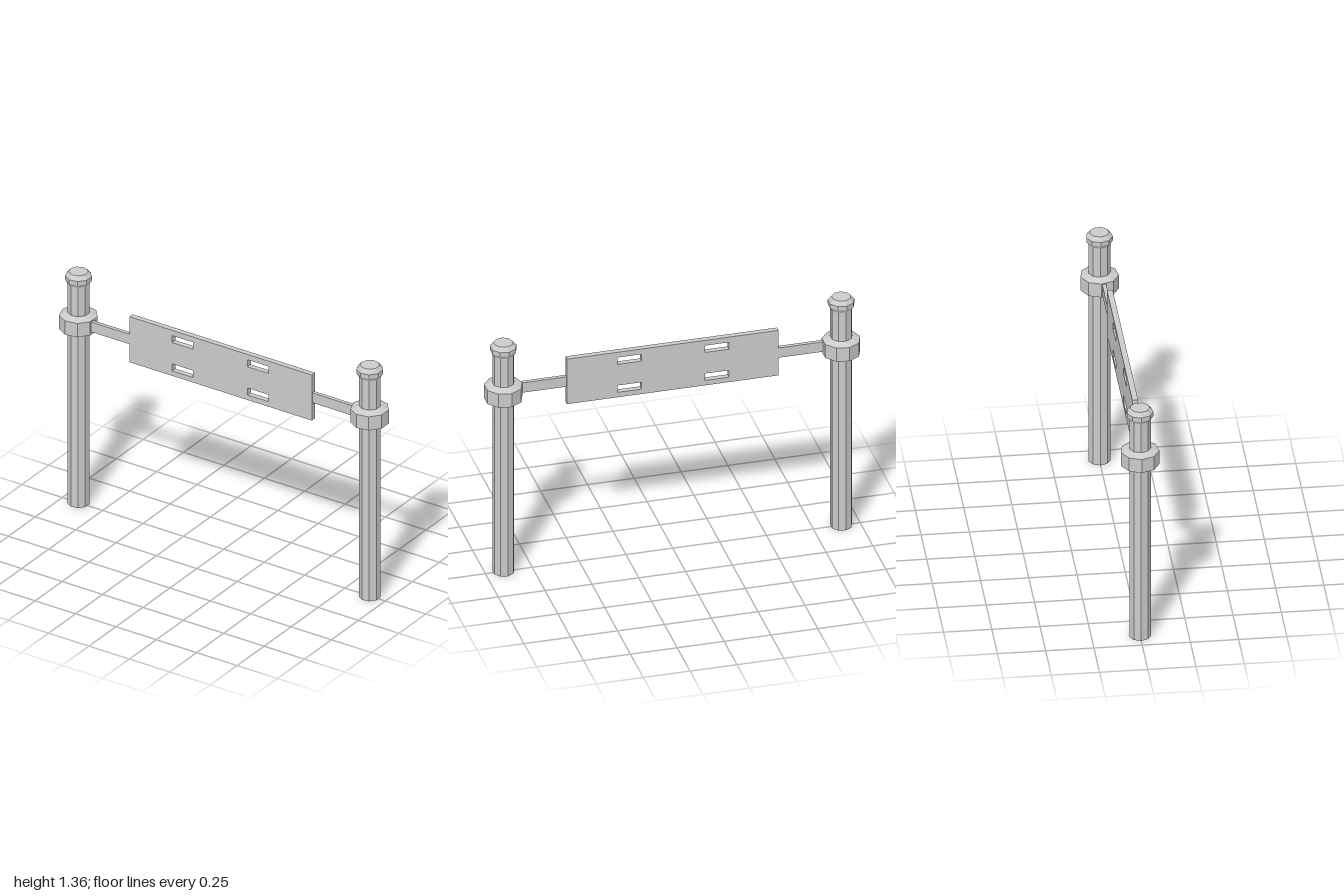
import * as THREE from 'three';

const SIDES = 9;
const material = new THREE.MeshStandardMaterial({ color: 0xcccccc, flatShading: true });

// Faceted turned part from [radius, height] pairs, listed bottom to top
function turned(name, profile) {
  const points = profile.map(([r, y]) => new THREE.Vector2(r, y));
  const mesh = new THREE.Mesh(new THREE.LatheGeometry(points, SIDES, -Math.PI / 2), material);
  mesh.name = name;
  return mesh;
}

function rectangle(target, x0, x1, y0, y1) {
  target.moveTo(x0, y0);
  target.lineTo(x1, y0);
  target.lineTo(x1, y1);
  target.lineTo(x0, y1);
  target.closePath();
  return target;
}

function createPost(name, x) {
  const post = new THREE.Group();
  post.name = name;
  post.add(
    turned('shaft', [[0, 0], [0.057, 0], [0.057, 1.295]]),
    turned('collar', [[0.055, 1.012], [0.101, 1.026], [0.101, 1.106], [0.055, 1.122]]),
    turned('cap', [[0.055, 1.288], [0.07, 1.312], [0.07, 1.335], [0.051, 1.358], [0, 1.358]])
  );
  post.position.x = x;
  return post;
}

export function createModel() {
  const model = new THREE.Group();
  model.name = 'slottedBarrier';

  // Posts
  model.add(createPost('rightPost', -0.899), createPost('leftPost', 0.904));

  // Plate with four slots
  const outline = rectangle(new THREE.Shape(), -0.565, 0.565, 0.94, 1.207);
  for (const x of [-0.3, 0.167]) {
    for (const y of [0.969, 1.135]) {
      outline.holes.push(rectangle(new THREE.Path(), x, x + 0.129, y, y + 0.041));
    }
  }
  const plate = new THREE.Mesh(
    new THREE.ExtrudeGeometry(outline, { depth: 0.03, bevelEnabled: false }), material);
  plate.name = 'plate';
  model.add(plate);

  // Arms joining the plate to the collars
  for (const side of [-1, 1]) {
    const arm = new THREE.Mesh(new THREE.BoxGeometry(0.26, 0.058, 0.021), material);
    arm.name = side < 0 ? 'rightArm' : 'leftArm';
    arm.position.set(side * 0.692, 1.071, 0.0145);
    model.add(arm);
  }
  return model;
}
